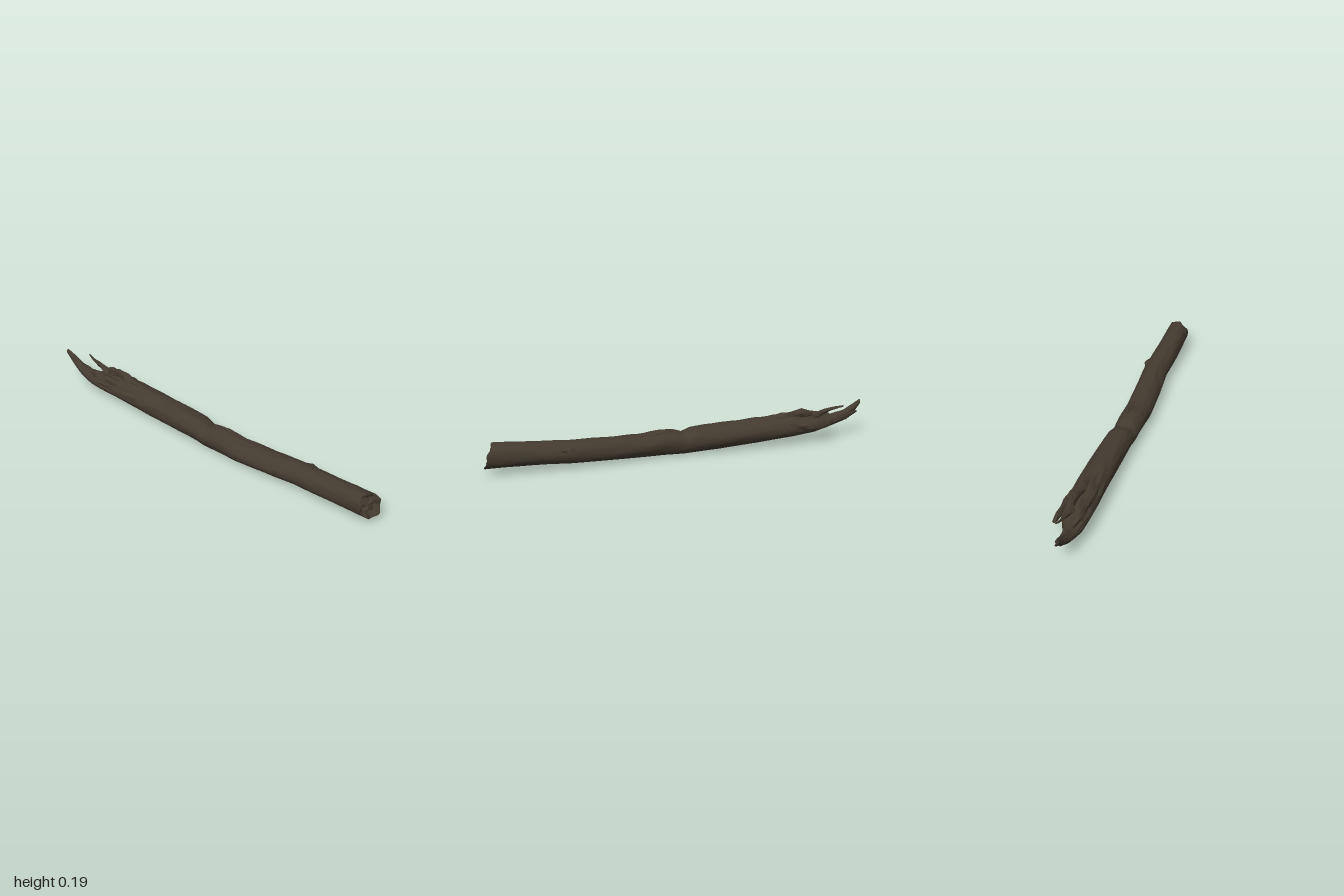
import * as THREE from 'three';
import { toCreasedNormals } from 'three/addons/utils/BufferGeometryUtils.js';

// Linear interpolation of [x, bottom, top, back, front] stations
function sectionAt(stations, x) {
  let i = 0;
  while (i < stations.length - 2 && x > stations[i + 1][0]) i++;
  const a = stations[i], b = stations[i + 1];
  const t = THREE.MathUtils.clamp((x - a[0]) / (b[0] - a[0]), 0, 1);
  return a.map((v, k) => v + (b[k] - v) * t);
}

// Closed loft along x; warp(point, angle) may move each vertex
function loft(stations, rings, sides, roughness, warp, capRings) {
  const pos = [], index = [];
  const x0 = stations[0][0], x1 = stations[stations.length - 1][0];
  const sections = [];
  for (let i = 0; i <= rings; i++) sections.push([x0 + (x1 - x0) * i / rings, 1, 0]);
  for (const [scale, dx] of capRings) sections.push([x1, scale, dx]);
  const first = sectionAt(stations, x0);
  pos.push(x0, (first[1] + first[2]) / 2, (first[3] + first[4]) / 2);
  for (const [x, scale, dx] of sections) {
    const [, bottom, top, back, front] = sectionAt(stations, x);
    const cy = (bottom + top) / 2, cz = (back + front) / 2;
    for (let j = 0; j < sides; j++) {
      const a = j / sides * Math.PI * 2;
      const r = scale * (1 + roughness(x, a));
      const p = new THREE.Vector3(x, cy + Math.sin(a) * r * (top - bottom) / 2,
        cz + Math.cos(a) * r * (front - back) / 2);
      if (warp) warp(p, a);
      p.x += dx;
      pos.push(p.x, p.y, p.z);
    }
  }
  const last = sections.length - 1;
  for (let j = 0; j < sides; j++) {
    const k = (j + 1) % sides;
    index.push(0, 1 + j, 1 + k);
    for (let i = 0; i < last; i++) {
      const a = 1 + i * sides + j, b = 1 + i * sides + k;
      index.push(a, a + sides, b, b, a + sides, b + sides);
    }
  }
  // Close the far end with a centre point
  const end = sectionAt(stations, x1);
  const lastDx = sections[last][2];
  pos.push(x1 + lastDx, (end[1] + end[2]) / 2, (end[3] + end[4]) / 2);
  const c = pos.length / 3 - 1;
  for (let j = 0; j < sides; j++) {
    index.push(1 + last * sides + j, c, 1 + last * sides + (j + 1) % sides);
  }
  const g = new THREE.BufferGeometry();
  g.setAttribute('position', new THREE.Float32BufferAttribute(pos, 3));
  g.setIndex(index);
  return toCreasedNormals(g, 0.7);
}

// Bark: gentle lumps below, deeper grooves above and near the broken end
function barkRoughness(x, a) {
  const up = Math.max(0, Math.sin(a + 0.25));
  const broken = THREE.MathUtils.smoothstep(-x, 0.3, 0.75);
  const lumps = 0.02 * Math.sin(3 * a + 5 * x) + 0.012 * Math.sin(5 * a - 13 * x + 1);
  const grooves = Math.sin(9 * a + 4 * Math.sin(7 * x)) * Math.sin(17 * x + 3 * a)
    + 0.6 * Math.sin(13 * a - 31 * x);
  return lumps + grooves * (0.006 + up * (0.022 + 0.06 * broken));
}

export function createModel() {
  const log = new THREE.Group();
  log.name = 'log';
  const bark = new THREE.MeshStandardMaterial({ color: 0x443b30 });
  bark.name = 'dark bark';
  const add = (name, geometry) => {
    const mesh = new THREE.Mesh(geometry, bark);
    mesh.name = name;
    log.add(mesh);
  };

  // Sagging trunk, pointed at the broken end and cut at the other
  const trunk = [
    [-1.00, 0.165, 0.190, 0.000, 0.018],
    [-0.96, 0.118, 0.168, -0.010, 0.020],
    [-0.90, 0.082, 0.135, -0.016, 0.032],
    [-0.84, 0.066, 0.122, -0.025, 0.045],
    [-0.79, 0.058, 0.122, -0.045, 0.056],
    [-0.72, 0.048, 0.135, -0.072, 0.060],
    [-0.60, 0.038, 0.150, -0.085, 0.064],
    [-0.40, 0.024, 0.150, -0.080, 0.065],
    [-0.20, 0.014, 0.143, -0.073, 0.067],
    [-0.07, 0.008, 0.137, -0.063, 0.068],
    [-0.02, 0.005, 0.117, -0.054, 0.071],
    [0.03, 0.006, 0.132, -0.050, 0.074],
    [0.10, 0.009, 0.138, -0.050, 0.080],
    [0.20, 0.011, 0.125, -0.050, 0.085],
    [0.40, 0.017, 0.130, -0.055, 0.076],
    [0.56, 0.025, 0.138, -0.059, 0.066],
    [0.70, 0.032, 0.146, -0.050, 0.074],
    [0.85, 0.034, 0.157, -0.040, 0.076],
    [0.965, 0.036, 0.162, -0.034, 0.077],
  ];
  const slantEnd = (p, a) => {
    const k = THREE.MathUtils.clamp((p.x - 0.85) / 0.115, 0, 1);
    p.x += k * (-0.36 * (p.z - 0.02) - 0.3 * (p.y - 0.1) + 0.006 * Math.sin(5 * a));
  };
  add('trunk', loft(trunk, 150, 48, barkRoughness, slantEnd,
    [[0.88, 0], [0.6, -0.018], [0.3, -0.012]]));

  // Torn bark and splinters, each tapering along x
  const torn = (x, a) => 0.16 * Math.sin(3 * a + 40 * x) + 0.08 * Math.sin(5 * a - 70 * x);
  const pieces = {
    backSplinter: [
      [-0.80, 0.100, 0.106, -0.088, -0.074], [-0.77, 0.085, 0.125, -0.091, -0.070],
      [-0.66, 0.070, 0.130, -0.090, -0.050], [-0.50, 0.070, 0.120, -0.080, -0.030]],
    thinSplinter: [
      [-0.885, 0.174, 0.181, -0.042, -0.035], [-0.85, 0.162, 0.176, -0.034, -0.024],
      [-0.81, 0.152, 0.170, -0.034, -0.012], [-0.72, 0.115, 0.150, -0.040, 0.000]],
    topFlake: [
      [-0.71, 0.140, 0.162, -0.030, -0.016], [-0.65, 0.120, 0.185, -0.042, -0.010],
      [-0.58, 0.120, 0.168, -0.040, 0.004], [-0.44, 0.120, 0.152, -0.030, 0.010]],
    frontFlake: [
      [-0.83, 0.105, 0.128, 0.008, 0.024], [-0.76, 0.095, 0.145, 0.005, 0.042],
      [-0.66, 0.090, 0.150, 0.000, 0.050], [-0.52, 0.090, 0.140, 0.000, 0.050]],
    tipSplinter: [
      [-0.975, 0.125, 0.136, -0.012, -0.004], [-0.92, 0.095, 0.130, -0.018, 0.006],
      [-0.82, 0.075, 0.115, -0.026, 0.010]],
    // Small raised strip and knot on the cut half
    barkRidge: [
      [0.04, 0.115, 0.132, -0.012, 0.004], [0.10, 0.110, 0.143, -0.020, 0.012],
      [0.20, 0.100, 0.124, -0.016, 0.006]],
    backKnot: [
      [0.55, 0.100, 0.112, -0.054, -0.040], [0.58, 0.098, 0.122, -0.063, -0.036],
      [0.62, 0.096, 0.112, -0.052, -0.036]],
  };
  for (const [name, stations] of Object.entries(pieces)) {
    add(name, loft(stations, 14, 9, torn, null, [[0.4, 0.005]]));
  }
  return log;
}
